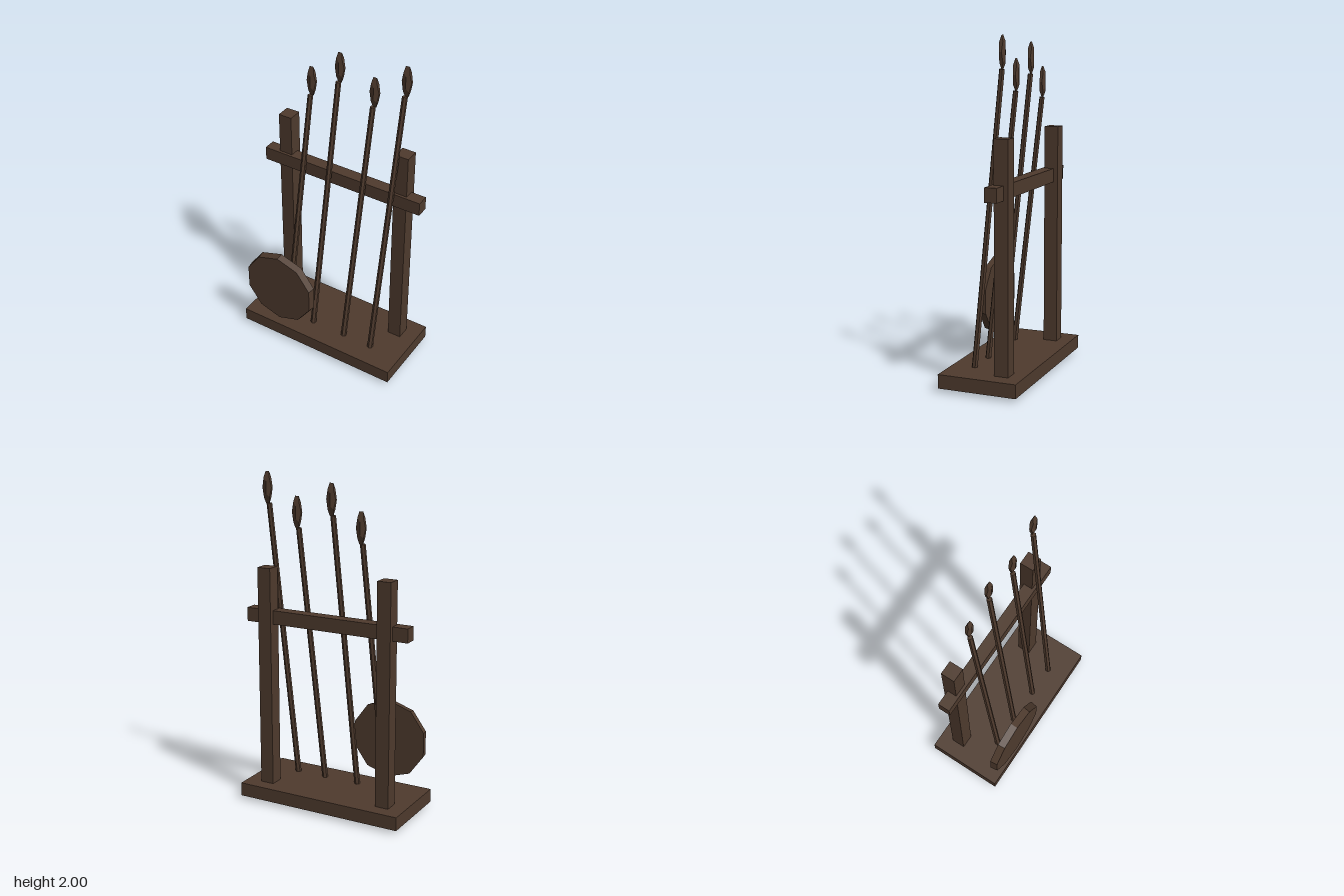
import * as THREE from 'three';

const wood = new THREE.MeshStandardMaterial({ color: 0x4e3a2d, flatShading: true });
wood.name = 'dark brown wood';

export function createModel() {
  const model = new THREE.Group();
  model.name = 'spearRack';

  const add = (name, geometry, x, y, z) => {
    const mesh = new THREE.Mesh(geometry, wood);
    mesh.name = name;
    mesh.position.set(x, y, z);
    model.add(mesh);
    return mesh;
  };

  // Rack: base board, two posts poking just below it, and the cross rail
  add('base', new THREE.BoxGeometry(1.054, 0.082, 0.474), 0, 0.066, 0);
  for (const [name, side] of [['leftPost', 1], ['rightPost', -1]]) {
    add(name, new THREE.BoxGeometry(0.085, 1.43, 0.085), side * 0.391, 0.73, -0.112);
  }
  add('rail', new THREE.BoxGeometry(1.054, 0.083, 0.074), 0, 1.148, -0.09);

  // Leaning spears: foot x, shaft top x, shaft top y, head x, head centre y
  const spears = [
    [-0.290, -0.228, 1.630, -0.221, 1.721],
    [-0.101, -0.040, 1.775, -0.033, 1.866],
    [0.124, 0.184, 1.688, 0.191, 1.779],
    [0.317, 0.380, 1.817, 0.387, 1.908],
  ];
  const up = new THREE.Vector3(0, 1, 0);
  spears.forEach(([footX, topX, topY, headX, headY], i) => {
    const foot = new THREE.Vector3(footX, 0.006, 0.113);
    const top = new THREE.Vector3(topX, topY, -0.097);
    const along = top.clone().sub(foot);
    const shaft = add(`spearShaft${i + 1}`,
      new THREE.CylinderGeometry(0.016, 0.018, along.length(), 6),
      ...foot.clone().add(top).multiplyScalar(0.5).toArray());
    shaft.quaternion.setFromUnitVectors(up, along.normalize());

    // Upright faceted head, stretched tall and flattened
    const head = new THREE.DodecahedronGeometry(1).scale(0.0325, 0.0985, 0.0185);
    add(`spearHead${i + 1}`, head, headX, headY, -0.103);
  });

  // Ten-sided shield facing forward, slightly wider at the back
  const shield = new THREE.CylinderGeometry(0.236, 0.243, 0.046, 10).rotateX(Math.PI / 2);
  add('shield', shield, -0.264, 0.398, 0.21);

  return model;
}
